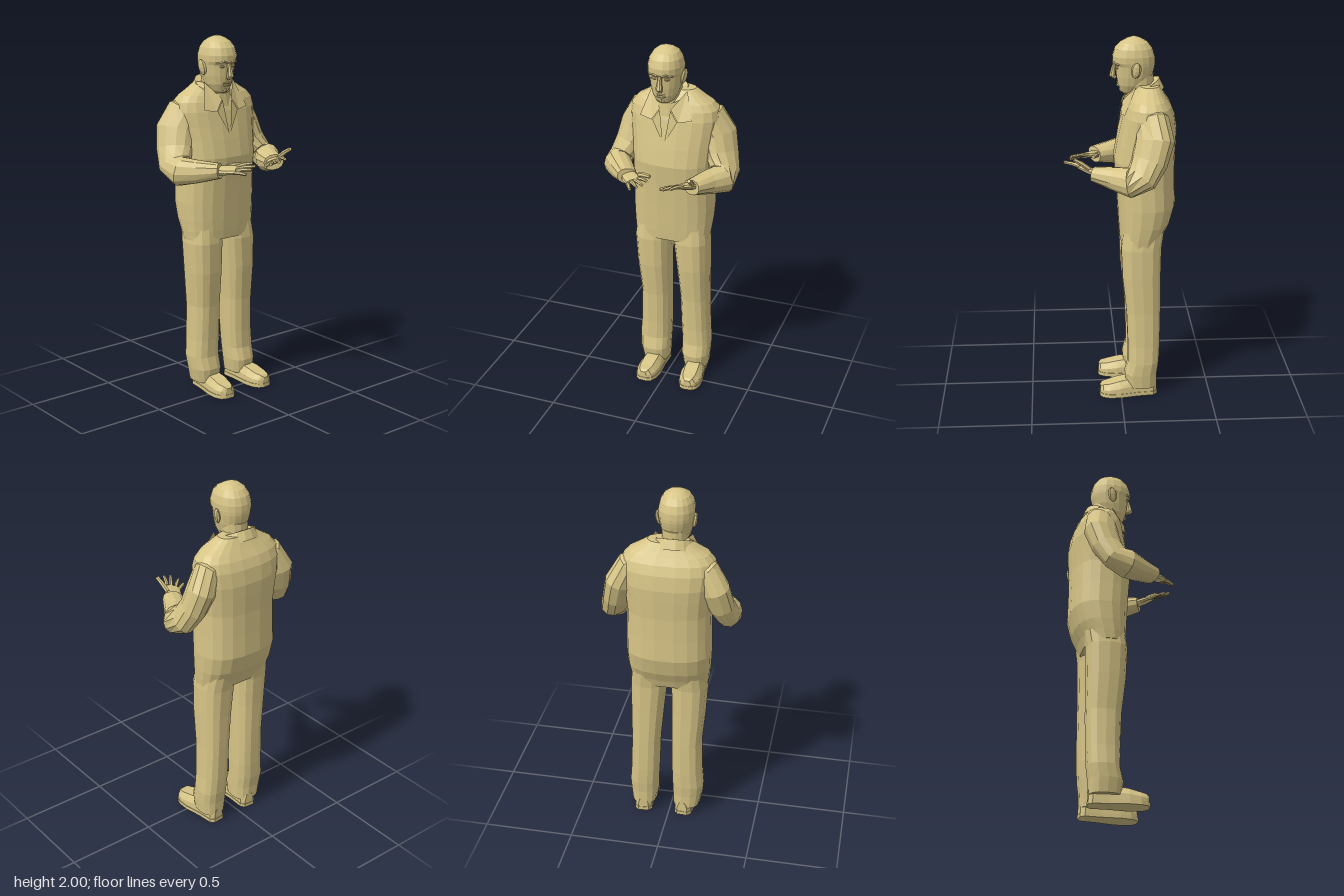
import * as THREE from 'three';

const V = (x, y, z) => new THREE.Vector3(x, y, z);
const clay = new THREE.MeshStandardMaterial({ color: 0xd6c486, flatShading: true });
clay.name = 'clay';
const clayThin = clay.clone();
clayThin.name = 'clay';
clayThin.side = THREE.DoubleSide;

// Closed skin through rings of points, with flat caps; faces are turned outward
function loft(rings) {
  const n = rings[0].length, pos = [], idx = [];
  rings.forEach(r => r.forEach(p => pos.push(p.x, p.y, p.z)));
  for (let i = 0; i < rings.length - 1; i++) for (let j = 0; j < n; j++) {
    const a = i * n + j, b = i * n + (j + 1) % n;
    idx.push(a, b, b + n, a, b + n, a + n);
  }
  const last = (rings.length - 1) * n;
  for (let j = 1; j < n - 1; j++) idx.push(0, j + 1, j, last, last + j, last + j + 1);
  const at = k => V(pos[3 * k], pos[3 * k + 1], pos[3 * k + 2]);
  let vol = 0;
  for (let k = 0; k < idx.length; k += 3) vol += at(idx[k]).dot(at(idx[k + 1]).cross(at(idx[k + 2])));
  if (vol < 0) idx.reverse();
  const g = new THREE.BufferGeometry();
  g.setAttribute('position', new THREE.Float32BufferAttribute(pos, 3));
  g.setIndex(idx);
  g.computeVertexNormals();
  return g;
}

// Rounded-box section: calls f(c, s) with values from -1 to 1
function section(n, p, f) {
  const pw = v => Math.sign(v) * Math.abs(v) ** (2 / p);
  return Array.from({ length: n }, (_, i) => {
    const a = (i + 0.5) / n * Math.PI * 2;
    return f(pw(Math.cos(a)), pw(Math.sin(a)));
  });
}
// Level ring; tilt raises the back and lowers the front
const level = (y, x0, x1, z0, z1, n = 18, p = 2.5, tilt = 0) => section(n, p, (c, s) =>
  V((x0 + x1) / 2 + c * (x1 - x0) / 2, y - c * tilt, (z0 + z1) / 2 + s * (z1 - z0) / 2));

// Tube along points [x, y, z, ru, rv]; rv is measured along the side vector
function limb(pts, side, n = 10, p = 2.2) {
  const c = pts.map(q => V(q[0], q[1], q[2]));
  return loft(pts.map((q, i) => {
    const t = c[Math.min(i + 1, c.length - 1)].clone().sub(c[Math.max(i - 1, 0)]).normalize();
    const v = side.clone().addScaledVector(t, -side.dot(t)).normalize();
    const u = t.clone().cross(v);
    return section(n, p, (a, b) => c[i].clone().addScaledVector(u, a * q[3]).addScaledVector(v, b * q[4]));
  }));
}

// Thin open panel with a fan of corners
function panel(pts) {
  const g = new THREE.BufferGeometry().setFromPoints(pts);
  const idx = [];
  for (let i = 1; i < pts.length - 1; i++) idx.push(0, i, i + 1);
  g.setIndex(idx);
  g.computeVertexNormals();
  return g;
}

export function createModel() {
  const root = new THREE.Group();
  root.name = 'standingMan';
  const add = (name, geo, mat = clay, parent = root) => {
    const m = new THREE.Mesh(geo, mat);
    m.name = name;
    parent.add(m);
    return m;
  };

  // Torso, from seat to neck base
  add('torso', loft([
    [0.89, -0.226, 0.0, 0.213], [0.94, -0.245, 0.004, 0.219], [1.0, -0.275, 0.008, 0.225], [1.1, -0.302, 0.014, 0.23],
    [1.22, -0.299, 0.022, 0.226], [1.35, -0.298, 0.034, 0.226], [1.45, -0.303, 0.016, 0.234], [1.52, -0.305, 0.001, 0.243],
    [1.6, -0.293, -0.016, 0.252], [1.65, -0.273, -0.033, 0.243], [1.685, -0.25, -0.05, 0.213], [1.71, -0.235, -0.066, 0.17],
    [1.75, -0.212, -0.1, 0.11],
  ].map(([y, a, b, w]) => level(y, a, b, -w, w, 20))));

  // Neck and collar
  const cz = 0.025;
  add('neck', loft([level(1.6, -0.18, -0.035, cz - 0.07, cz + 0.07, 14, 2), level(1.8, -0.185, -0.035, cz - 0.07, cz + 0.07, 14, 2)]));
  add('collar', loft([
    level(1.675, -0.24, -0.02, cz - 0.125, cz + 0.125, 16, 2, 0.055),
    level(1.735, -0.215, -0.03, cz - 0.1, cz + 0.1, 16, 2, 0.045),
    level(1.728, -0.2, -0.04, cz - 0.085, cz + 0.085, 16, 2, 0.045),
  ]));
  for (const s of [1, -1]) {
    const z = d => cz * 0.5 + s * d;
    add('collarFlap', panel([V(-0.085, 1.755, z(0.1)), V(-0.015, 1.665, z(0.03)), V(-0.004, 1.6, z(0.075)), V(-0.022, 1.612, z(0.145))]), clayThin);
    add('shirtOpening', panel([V(-0.012, 1.66, z(0.03)), V(-0.006, 1.6, z(0.07)), V(0.014, 1.48, z(0.004))]), clayThin);
  }

  // Head
  const head = new THREE.Group();
  head.name = 'head';
  head.position.z = 0.028;
  root.add(head);
  add('skull', loft([
    [1.695, -0.085, -0.022, 0.03], [1.71, -0.115, -0.006, 0.05], [1.745, -0.15, 0.008, 0.07], [1.79, -0.175, 0.016, 0.082],
    [1.83, -0.186, 0.02, 0.088], [1.85, -0.19, 0.022, 0.091], [1.868, -0.191, 0.036, 0.094], [1.9, -0.189, 0.037, 0.095],
    [1.94, -0.176, 0.024, 0.086], [1.97, -0.152, -0.003, 0.068], [1.99, -0.118, -0.04, 0.042], [2.0, -0.09, -0.065, 0.013],
  ].map(([y, a, b, w]) => level(y, a, b, -w, w, 18, 2.2))), clay, head);
  add('nose', limb([[0.022, 1.86, 0, 0.01, 0.01], [0.032, 1.825, 0, 0.013, 0.013], [0.037, 1.793, 0, 0.018, 0.02], [0.02, 1.778, 0, 0.01, 0.014]], V(0, 0, 1), 8), clay, head);
  for (const y of [1.752, 1.739]) {
    const lip = add('lip', new THREE.SphereGeometry(1, 8, 5), clay, head);
    lip.position.set(0.005, y, 0);
    lip.scale.set(0.01, 0.006, 0.028);
  }
  add('chin', new THREE.SphereGeometry(0.02, 8, 6), clay, head).position.set(-0.02, 1.717, 0);
  for (const s of [1, -1]) {
    add('brow', limb([[0.033, 1.863, s * 0.012, 0.006, 0.006], [0.029, 1.869, s * 0.035, 0.006, 0.007], [0.005, 1.86, s * 0.065, 0.005, 0.006]], V(1, 0, 0), 6), clay, head);
    const eye = add('eye', new THREE.SphereGeometry(1, 8, 6), clay, head);
    eye.position.set(0.01, 1.842, s * 0.035);
    eye.scale.set(0.013, 0.008, 0.016);
    const ear = add('ear', new THREE.SphereGeometry(1, 8, 6), clay, head);
    ear.position.set(-0.085, 1.835, s * 0.095);
    ear.scale.set(0.027, 0.043, 0.013);
    ear.rotation.set(s * 0.15, s * 0.25, 0.15);
  }

  // Trouser legs: height, back, front, inner and outer side
  const legs = {
    1: [[0.98, -0.24, -0.015, 0.01, 0.2], [0.87, -0.224, -0.001, 0.008, 0.211], [0.7, -0.22, -0.008, 0.012, 0.2], [0.5, -0.22, -0.03, 0.013, 0.182],
      [0.3, -0.217, -0.038, 0.013, 0.187], [0.2, -0.212, -0.038, 0.015, 0.195], [0.13, -0.203, -0.02, 0.016, 0.188], [0.05, -0.2, -0.03, 0.02, 0.172]],
    [-1]: [[0.98, -0.24, -0.015, 0.01, 0.205], [0.87, -0.224, -0.001, 0.016, 0.216], [0.7, -0.22, -0.008, 0.035, 0.217], [0.5, -0.22, -0.03, 0.053, 0.215],
      [0.3, -0.217, -0.038, 0.06, 0.222], [0.2, -0.212, -0.038, 0.066, 0.23], [0.13, -0.203, -0.02, 0.068, 0.228], [0.05, -0.2, -0.03, 0.08, 0.22]],
  };
  for (const s of [1, -1]) {
    add('trouserLeg', loft(legs[s].map(([y, a, b, i, o]) => level(y, a, b, s * i, s * o, 14, 2.6))));

    // Shoe: flat sole with an upper lofted from heel to toe
    const shoe = new THREE.Group();
    shoe.name = 'shoe';
    shoe.position.set(-0.04, 0, s > 0 ? 0.092 : -0.158);
    shoe.rotation.y = -s * 0.07;
    root.add(shoe);
    const widths = [[-0.162, 0.03], [-0.14, 0.05], [-0.05, 0.054], [0.05, 0.067], [0.11, 0.063], [0.145, 0.047], [0.16, 0.024]];
    const outline = new THREE.Shape([...widths.map(([x, w]) => new THREE.Vector2(x, w)), ...widths.map(([x, w]) => new THREE.Vector2(x, -w)).reverse()]);
    const sole = new THREE.ExtrudeGeometry(outline, { depth: 0.022, bevelEnabled: false });
    sole.rotateX(-Math.PI / 2);
    add('sole', sole, clay, shoe);
    const tops = [0.08, 0.1, 0.105, 0.09, 0.075, 0.069, 0.058];
    add('upper', loft(widths.map(([x, w], i) =>
      [[1, 0.015], [0.97, 0.6], [0.6, 1], [-0.6, 1], [-0.97, 0.6], [-1, 0.015]].map(([k, h]) => V(x * 0.985, Math.max(0.015, h * tops[i]), k * w * 0.96)))), clay, shoe);
  }

  // Sleeves, from inside the shoulder, bent at the elbow
  for (const s of [1, -1]) {
    const cuff = s > 0 ? [0.13, 1.312, 0.175] : [0.142, 1.312, 0.192];
    const path = [
      [-0.15, 1.63, 0.11, 0.05, 0.06], [-0.163, 1.59, 0.195, 0.093, 0.072], [-0.172, 1.5, 0.24, 0.108, 0.078],
      [-0.143, 1.4, 0.268, 0.1, 0.072], [-0.1, 1.325, 0.298, 0.091, 0.066], [-0.043, 1.297, 0.303, 0.08, 0.073],
      [0.03, 1.302, 0.247, 0.064, 0.068], [...cuff, 0.042, 0.056],
    ].map(([x, y, z, u, v]) => [x, y, s * z, u, v]);
    add('sleeve', limb(path, V(0.55, 0.2, s * 0.8), 12));
  }

  // Hands: palm path, palm width direction, then each finger's base and tip
  const hands = [
    { name: 'rightHand', side: V(0.55, -0.2, 0.8),
      palm: [[0.1, 1.312, 0.19, 0.022, 0.034], [0.15, 1.315, 0.15, 0.019, 0.046], [0.195, 1.32, 0.115, 0.012, 0.043]],
      fingers: [[0.12, 1.325, 0.115, 0.14, 1.335, 0.042], [0.165, 1.328, 0.098, 0.225, 1.35, 0.03], [0.183, 1.323, 0.112, 0.26, 1.34, 0.04],
        [0.197, 1.317, 0.128, 0.265, 1.325, 0.07], [0.205, 1.308, 0.145, 0.265, 1.305, 0.108]] },
    { name: 'leftHand', side: V(0.5, 0.3, -0.8),
      palm: [[0.11, 1.312, -0.205, 0.022, 0.034], [0.165, 1.325, -0.172, 0.018, 0.048], [0.21, 1.335, -0.14, 0.012, 0.043]],
      fingers: [[0.17, 1.345, -0.205, 0.25, 1.4, -0.215], [0.22, 1.35, -0.17, 0.3, 1.362, -0.132], [0.215, 1.34, -0.148, 0.3, 1.352, -0.09],
        [0.203, 1.33, -0.128, 0.265, 1.335, -0.062], [0.19, 1.32, -0.113, 0.232, 1.318, -0.052]] },
  ];
  for (const h of hands) {
    const hand = new THREE.Group();
    hand.name = h.name;
    root.add(hand);
    add('palm', limb(h.palm, h.side, 10, 2.6), clay, hand);
    h.fingers.forEach(([x, y, z, a, b, c], i) => {
      const r = i ? 0.0105 : 0.013;
      const mid = [(x + a) / 2, (y + b) / 2 + 0.004, (z + c) / 2];
      add(i ? 'finger' : 'thumb', limb([[x, y, z, r, r], [...mid, r, r], [a, b, c, r * 0.8, r * 0.8]], h.side, 6, 2), clay, hand);
    });
  }
  return root;
}
